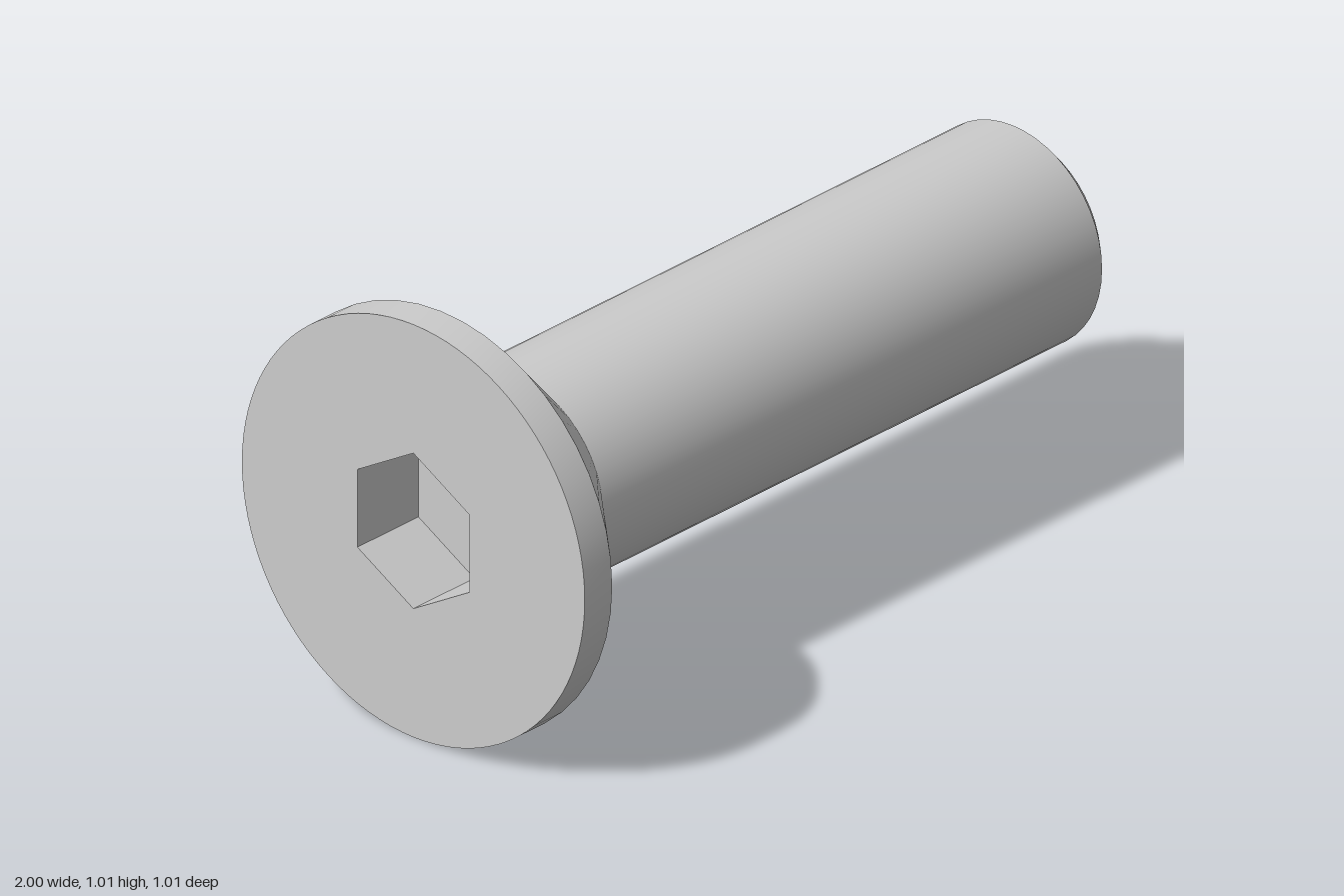
import * as THREE from 'three';
import { toCreasedNormals } from 'three/addons/utils/BufferGeometryUtils.js';

const SEGMENTS = 48;
const HEAD_R = 0.507, SHAFT_R = 0.265, TIP_R = 0.23;
const HEX_R = 0.191, HEX_DEPTH = 0.2;

export function createModel() {
  const screw = new THREE.Group();
  screw.name = 'countersunkScrew';
  const smooth = new THREE.MeshStandardMaterial({ color: 0xcccccc });
  const flat = new THREE.MeshStandardMaterial({ color: 0xcccccc, flatShading: true, side: THREE.DoubleSide });

  const add = (name, geometry, material) => {
    const mesh = new THREE.Mesh(geometry, material);
    mesh.name = name;
    mesh.position.y = HEAD_R;
    screw.add(mesh);
  };

  // Surface turned around the x axis from [x, radius] pairs
  const turned = (profile) => {
    const points = profile.map(([x, r]) => new THREE.Vector2(r, x));
    return toCreasedNormals(new THREE.LatheGeometry(points, SEGMENTS).rotateZ(-Math.PI / 2), 0.5);
  };

  // Rim and countersunk cone of the head
  add('head', turned([[-1, HEAD_R], [-0.91, HEAD_R], [-0.67, SHAFT_R]]), smooth);

  // Shaft with chamfered, closed tip
  add('shaft', turned([[-0.67, SHAFT_R], [0.965, SHAFT_R], [1, TIP_R], [1, 0]]), smooth);

  // Flat head face with a hexagonal opening, corners up and down
  const disc = new THREE.Shape();
  disc.absarc(0, 0, HEAD_R, 0, Math.PI * 2);
  const hexagon = Array.from({ length: 6 }, (_, i) => {
    const a = Math.PI / 6 + i * Math.PI / 3;
    return new THREE.Vector2(Math.cos(a) * HEX_R, Math.sin(a) * HEX_R);
  });
  disc.holes.push(new THREE.Path(hexagon));
  add('headFace', new THREE.ShapeGeometry(disc, SEGMENTS).rotateY(-Math.PI / 2).translate(-1, 0, 0), smooth);

  // Hexagonal socket walls and floor
  const walls = new THREE.CylinderGeometry(HEX_R, HEX_R, HEX_DEPTH, 6, 1, true, Math.PI / 6);
  add('socketWalls', walls.rotateZ(-Math.PI / 2).translate(-1 + HEX_DEPTH / 2, 0, 0), flat);
  const floor = new THREE.CircleGeometry(HEX_R, 6, Math.PI / 6);
  add('socketFloor', floor.rotateY(-Math.PI / 2).translate(-1 + HEX_DEPTH, 0, 0), flat);

  return screw;
}
